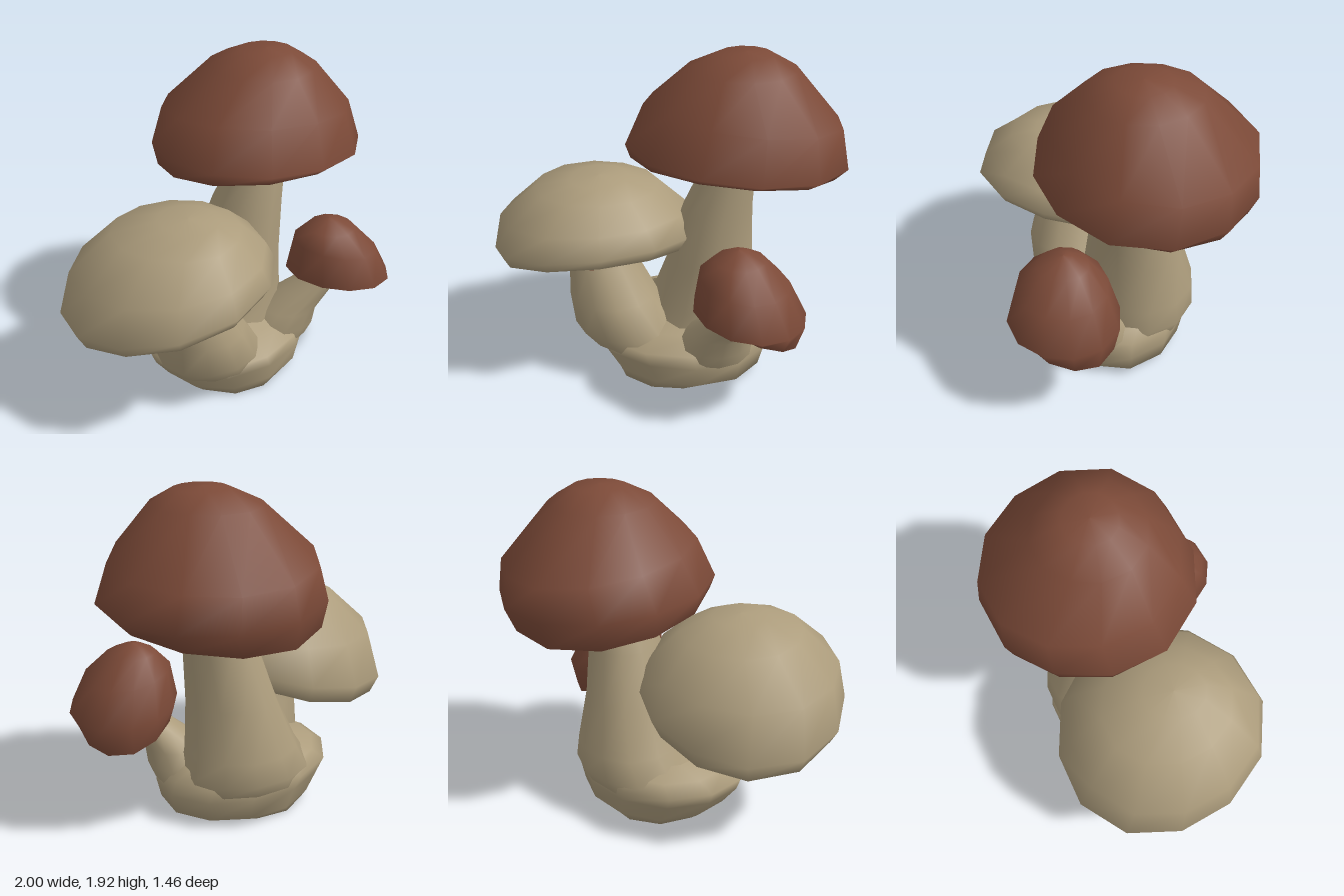
import * as THREE from 'three';

const brown = new THREE.MeshStandardMaterial({ color: 0x7c4a38, side: THREE.DoubleSide });
brown.name = 'russet brown';
const tan = new THREE.MeshStandardMaterial({ color: 0xac9c7c, side: THREE.DoubleSide });
tan.name = 'pale tan';

// Skin over elliptical rings [y, cx, cz, rx, rz, slopeX, slopeZ], listed from the
// lower axis outwards and up; from/to in radians limit it to an open arc.
function loft(name, material, rings, { seg = 12, seed = 0, wobble = 0.02, from = 0, to = Math.PI * 2 } = {}) {
  const closed = to - from > 6.28;
  const cols = closed ? seg : seg + 1;
  const pos = [], index = [];
  for (const [y, cx, cz, rx, rz, sx = 0, sz = 0] of rings) {
    for (let i = 0; i < cols; i++) {
      const a = from + (to - from) * i / seg;
      const w = 1 + wobble * Math.sin(3 * a + seed);
      const dx = rx * w * Math.cos(a), dz = rz * w * Math.sin(a);
      pos.push(cx + dx, y + sx * dx + sz * dz, cz + dz);
    }
  }
  for (let r = 0; r < rings.length - 1; r++) {
    for (let i = 0; i < seg; i++) {
      const a = r * cols + i, b = r * cols + (i + 1) % cols;
      index.push(a, a + cols, b, b, a + cols, b + cols);
    }
  }
  const geo = new THREE.BufferGeometry();
  geo.setAttribute('position', new THREE.Float32BufferAttribute(pos, 3));
  geo.setIndex(index);
  geo.computeVertexNormals();
  const mesh = new THREE.Mesh(geo, material);
  mesh.name = name;
  return mesh;
}

// Ring scaled about its centre and moved vertically
const scaled = ([y, cx, cz, rx, rz, sx, sz], k, dy) => [y + dy, cx, cz, rx * k, rz * k, sx, sz];

// Cap: outer skin with a narrow lip, a shallow hollow underside,
// and brown flecks [innerScale, outerScale, fromDegrees, toDegrees] beneath it
function cap(name, material, rings, hollow, seed, flecks = []) {
  const g = new THREE.Group();
  g.name = name;
  const lip = scaled(rings[0], 0.95, 0.005);
  const top = rings[rings.length - 1];
  g.add(loft(name + 'Skin', material, [lip, ...rings, scaled(top, 0, 0.01)], { seed }));
  g.add(loft(name + 'Underside', tan,
    [scaled(lip, 0, hollow), scaled(lip, 0.55, hollow), lip], { seed }));
  for (const [k0, k1, from, to] of flecks) {
    const under = [k0, k1].map((k) => scaled(lip, k, hollow * (1 - k) / 0.45 - 0.009));
    g.add(loft(name + 'Fleck', brown, under,
      { seg: 4, seed, from: from * Math.PI / 180, to: to * Math.PI / 180 }));
  }
  return g;
}

export function createModel() {
  const model = new THREE.Group();
  model.name = 'mushroomCluster';

  // Shared swollen foot
  model.add(loft('base', tan, [
    [0, 0.07, 0.01, 0, 0],
    [0, 0.07, 0.01, 0.36, 0.39],
    [0.05, 0.11, 0, 0.47, 0.41],
    [0.17, 0.08, 0, 0.53, 0.44],
    [0.25, 0.05, -0.01, 0.53, 0.455],
    [0.31, 0.07, -0.05, 0.45, 0.36],
    [0.36, 0.1, -0.08, 0.32, 0.25],
  ], { seed: 1 }));

  // Stems, rooted inside the foot
  model.add(loft('tallStem', tan, [
    [0.2, 0.13, -0.1, 0.39, 0.345],
    [0.28, 0.16, -0.12, 0.385, 0.36],
    [0.42, 0.2, -0.125, 0.32, 0.335],
    [0.7, 0.24, -0.09, 0.245, 0.285],
    [1.0, 0.285, -0.06, 0.205, 0.225],
    [1.2, 0.34, -0.045, 0.165, 0.175],
    [1.34, 0.365, -0.05, 0.145, 0.16],
  ], { seed: 2 }));
  model.add(loft('wideStem', tan, [
    [0.18, -0.12, 0.14, 0.31, 0.26],
    [0.28, -0.18, 0.17, 0.32, 0.285],
    [0.48, -0.255, 0.2, 0.255, 0.26],
    [0.68, -0.335, 0.17, 0.19, 0.21],
    [0.79, -0.36, 0.155, 0.19, 0.2],
  ], { wobble: 0 }));
  model.add(loft('smallStem', tan, [
    [0.18, 0.34, 0.12, 0.23, 0.23],
    [0.27, 0.37, 0.16, 0.22, 0.22],
    [0.37, 0.41, 0.2, 0.175, 0.18],
    [0.48, 0.49, 0.27, 0.135, 0.14],
    [0.6, 0.58, 0.34, 0.105, 0.105],
  ], { wobble: 0 }));

  // Brown fleck on the front of the wide stem
  model.add(loft('stemFleck', brown, [
    [0.69, -0.337, 0.169, 0.194, 0.217],
    [0.81, -0.362, 0.152, 0.196, 0.207],
  ], { seg: 4, wobble: 0, from: 1.33, to: 1.9 }));

  // Caps, from rim to crown
  model.add(cap('tallCap', brown, [
    [1.27, 0.36, -0.11, 0.57, 0.57, -0.03, 0.16],
    [1.36, 0.38, -0.115, 0.62, 0.605, -0.06, 0.05],
    [1.57, 0.4, -0.15, 0.55, 0.55, -0.07, 0.1],
    [1.83, 0.4, -0.09, 0.3, 0.31, 0, 0],
    [1.91, 0.42, -0.08, 0.15, 0.15, 0, 0],
  ], 0.05, 0.5, [
    [0.58, 0.7, 38, 52], [0.38 + 0.17, 0.64, 68, 80], [0.9, 1, 82, 96],
    [0.88, 1, 14, 30], [0.88, 1, 162, 180], [0.9, 1, 217, 233],
  ]));
  model.add(cap('wideCap', tan, [
    [0.685, -0.41, 0.12, 0.55, 0.57, 0.18, 0.23],
    [0.77, -0.405, 0.11, 0.6, 0.61, 0.17, 0.17],
    [0.96, -0.41, 0.13, 0.54, 0.545, 0.07, 0.09],
    [1.13, -0.37, 0.15, 0.35, 0.37, 0, 0.04],
    [1.195, -0.33, 0.2, 0.16, 0.18, 0, 0],
  ], 0.06, 2.5));
  model.add(cap('smallCap', brown, [
    [0.56, 0.63, 0.37, 0.27, 0.27, -0.38, 0.28],
    [0.63, 0.635, 0.38, 0.31, 0.31, -0.1, 0.02],
    [0.82, 0.6, 0.38, 0.245, 0.25, -0.14, 0],
    [0.93, 0.57, 0.37, 0.14, 0.14, 0, 0],
    [0.975, 0.56, 0.365, 0.05, 0.05, 0, 0],
  ], 0.03, 4, [[0.6, 1, 160, 220], [0.55, 0.8, 130, 145]]));

  return model;
}
